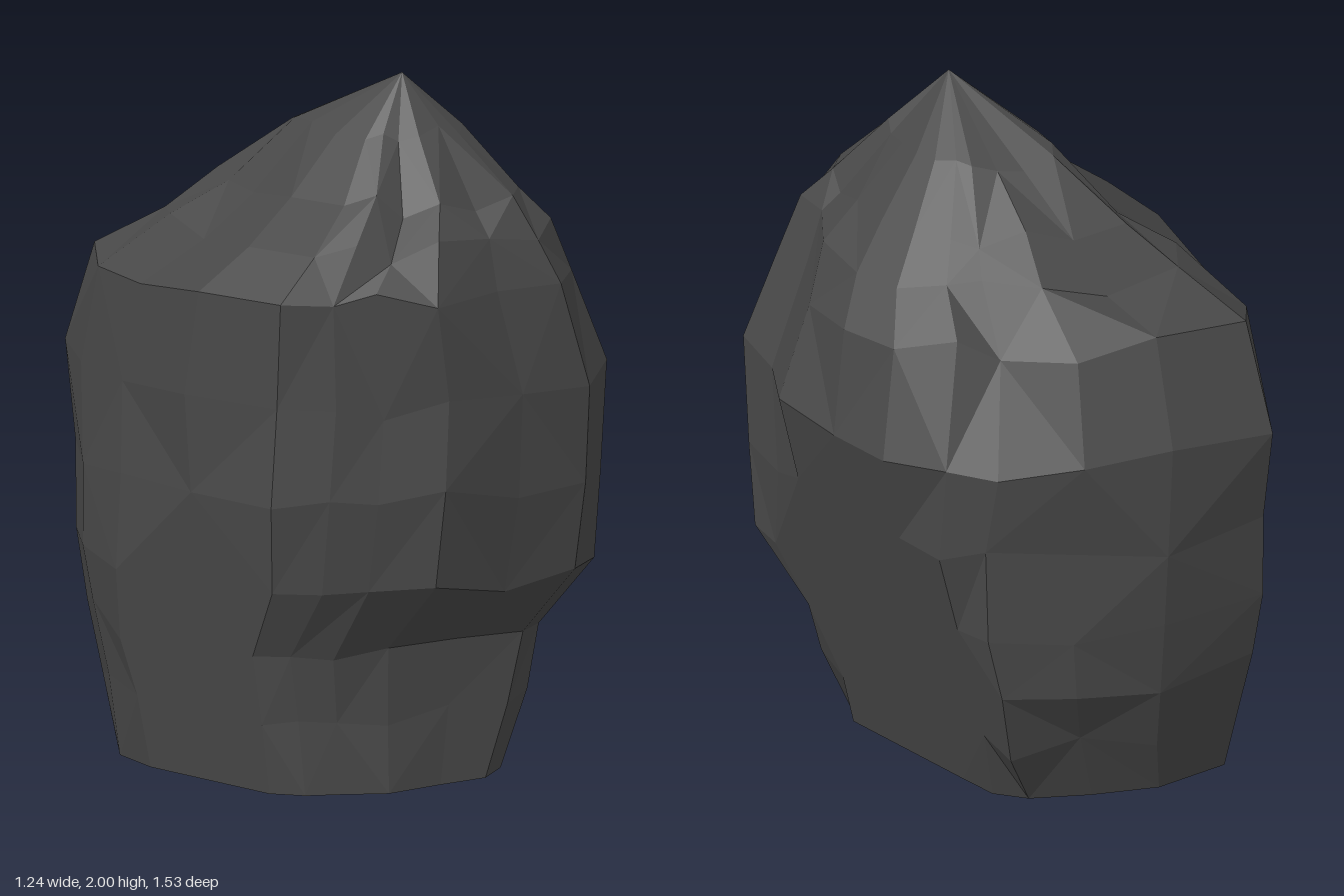
import * as THREE from 'three';

// Widths of the boulder at each height: y, left x, right x, back z, front z
const LEVELS = [
  [0, -0.55, 0.33, -0.55, 0.52],
  [0.2, -0.6, 0.48, -0.61, 0.54],
  [0.4, -0.64, 0.6, -0.67, 0.55],
  [0.6, -0.65, 0.63, -0.71, 0.72],
  [0.85, -0.64, 0.64, -0.72, 0.75],
  [1.13, -0.61, 0.61, -0.765, 0.77],
  [1.43, -0.606, 0.5, -0.64, 0.72],
  [1.55, -0.49, 0.39, -0.43, 0.66],
  [1.67, -0.34, 0.28, -0.3, 0.58],
  [1.83, -0.2, 0.14, -0.08, 0.42],
];

// Irregular outline seen from above, in the range -1 to 1, starting at the front
const OUTLINE = [
  [0.25, 1], [0.54, 0.92], [0.69, 0.79], [0.87, 0.52], [1, 0.2], [1, -0.07],
  [0.87, -0.3], [0.77, -0.48], [0.47, -0.7], [0.11, -0.91], [-0.4, -1],
  [-0.62, -0.85], [-0.8, -0.55], [-1, -0.1], [-1, 0.32], [-0.85, 0.5],
  [-0.69, 0.63], [-0.48, 0.82], [-0.08, 0.91],
];
const APEX = [-0.055, 2, 0.27];

function seeded(seed) {
  return () => {
    seed = (seed * 16807) % 2147483647;
    return seed / 2147483647;
  };
}

// Cracks: how far a point of the outline is pushed inward
function dent(i, y) {
  if (i === 2 && y > 0.8 && y < 1.6) return 0.09;
  if ((i === 6 || i === 7) && y > 1.3 && y < 1.6) return i === 7 ? 0.09 : 0.03;
  if (i === 17 && y > 0.1 && y < 0.5) return 0.05;
  return 0;
}

function buildRings() {
  const random = seeded(77);
  return LEVELS.map(([y, left, right, back, front], j) =>
    OUTLINE.map(([u, v], i) => {
      const extreme = Math.abs(u) === 1 || Math.abs(v) === 1;
      const rough = random() * 0.05;
      const lift = (random() - 0.5) * 0.08;
      const scale = 1 - dent(i, y) - (extreme || j === 0 ? 0 : rough);
      const py = extreme || j === 0 ? y : y + lift;
      const z = (front + back) / 2 + (v * scale * (front - back)) / 2;
      let x = (left + right) / 2 + (u * scale * (right - left)) / 2;
      // Two flat broken faces, one on each side
      x = Math.min(x, 0.25 + 0.3 * py - 0.14 * z);
      x = Math.max(x, -(0.5 + 0.13 * py + 0.15 * z));
      return [x, py, z];
    }));
}

function boulderGeometry() {
  const rings = buildRings();
  const n = OUTLINE.length;
  const positions = [];
  const triangle = (a, b, c) => positions.push(...a, ...b, ...c);
  const top = rings[rings.length - 1];
  for (let i = 0; i < n; i++) {
    const k = (i + 1) % n;
    for (let j = 0; j < rings.length - 1; j++) {
      const a = rings[j][i], b = rings[j][k];
      const c = rings[j + 1][k], d = rings[j + 1][i];
      // Alternate diagonals give irregular facets
      if ((i + j) % 2) {
        triangle(a, b, c);
        triangle(a, c, d);
      } else {
        triangle(a, b, d);
        triangle(b, c, d);
      }
    }
    triangle(top[i], top[k], APEX);
    triangle([-0.12, 0, 0], rings[0][k], rings[0][i]);
  }
  const geometry = new THREE.BufferGeometry();
  geometry.setAttribute('position', new THREE.Float32BufferAttribute(positions, 3));
  geometry.computeVertexNormals();
  return geometry;
}

export function createModel() {
  const group = new THREE.Group();
  group.name = 'rock';
  const stone = new THREE.MeshStandardMaterial({ color: 0x484848 });
  stone.name = 'dark grey stone';
  stone.flatShading = true;
  const boulder = new THREE.Mesh(boulderGeometry(), stone);
  boulder.name = 'boulder';
  group.add(boulder);
  return group;
}
